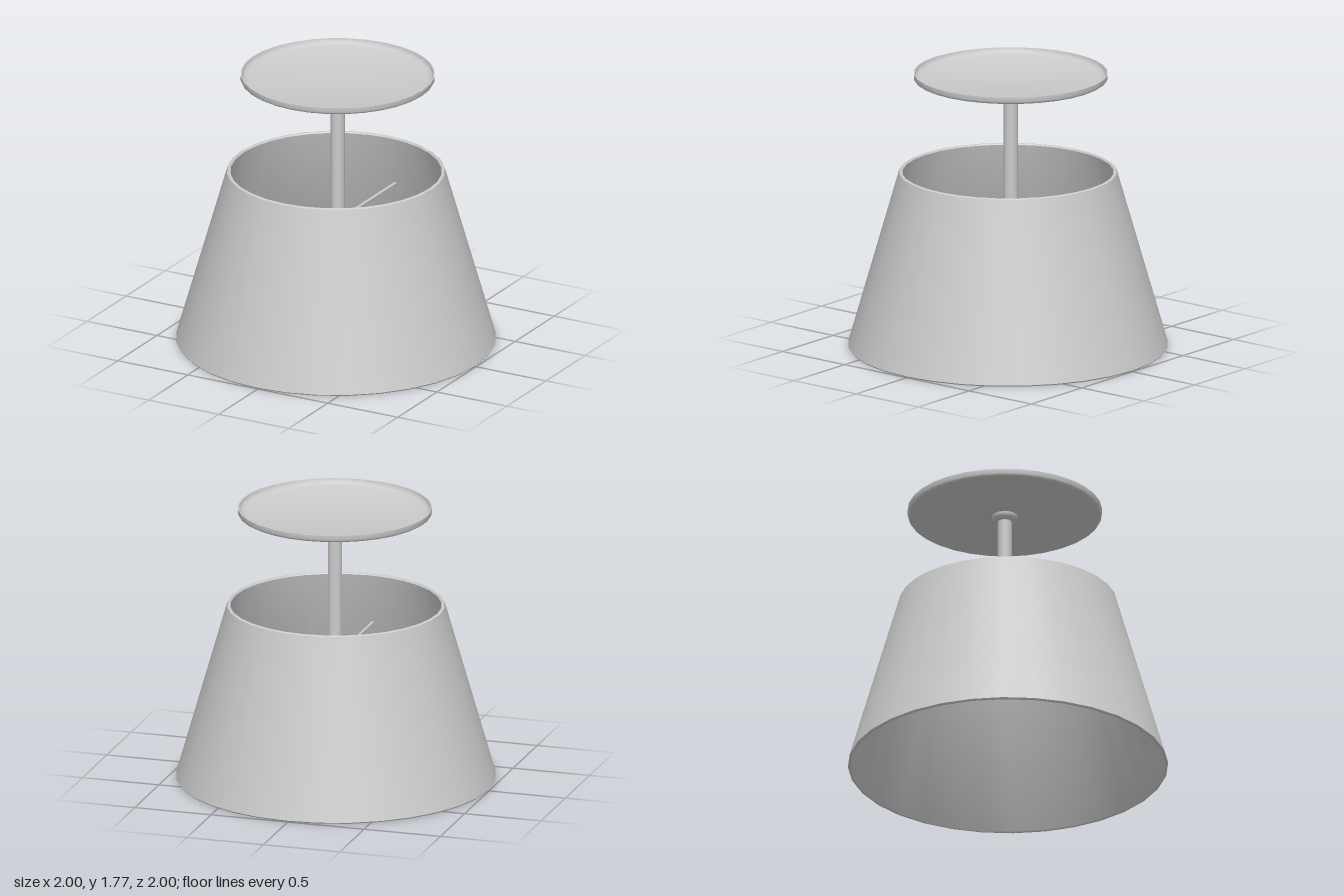
import * as THREE from 'three';
import { toCreasedNormals } from 'three/addons/utils/BufferGeometryUtils.js';

const material = new THREE.MeshStandardMaterial({ color: 0xcccccc });
const SEGMENTS = 32;
const STEM_Z = -0.022; // stem and ceiling plate sit slightly behind the shade's axis

function addMesh(parent, name, geometry) {
  const mesh = new THREE.Mesh(geometry, material);
  mesh.name = name;
  parent.add(mesh);
  return mesh;
}

// Profiles run up the outside, so faces point outwards
function lathe(profile) {
  const points = profile.map(([r, y]) => new THREE.Vector2(r, y));
  return toCreasedNormals(new THREE.LatheGeometry(points, SEGMENTS), 0.7);
}

export function createModel() {
  const model = new THREE.Group();
  model.name = 'pendantLamp';

  // Tapered shade: thin wall, open at both ends, with small bevels on the rims
  addMesh(model, 'shade', lathe([
    [0.978, 0.008], [0.985, 0], [0.994, 0], [1, 0.008],
    [0.683, 1.115], [0.681, 1.123], [0.674, 1.128],
    [0.664, 1.128], [0.658, 1.12], [0.978, 0.008],
  ]));

  // Shallow ceiling plate with a raised, rounded rim
  const plate = addMesh(model, 'ceilingPlate', lathe([
    [0, 1.722], [0.592, 1.722], [0.602, 1.728], [0.607, 1.738],
    [0.607, 1.767], [0.599, 1.767], [0.596, 1.75], [0.585, 1.738],
    [0.56, 1.73], [0, 1.728],
  ]));
  plate.position.z = STEM_Z;

  // Collar where the stem meets the plate
  const collar = addMesh(model, 'collar', lathe([
    [0, 1.682], [0.046, 1.682], [0.06, 1.687], [0.072, 1.697],
    [0.079, 1.71], [0.08, 1.725], [0, 1.725],
  ]));
  collar.position.z = STEM_Z;

  // Stem
  const stem = addMesh(model, 'stem', new THREE.CylinderGeometry(0.044, 0.044, 0.95, SEGMENTS));
  stem.position.set(0, 1.225, STEM_Z);

  // Four spokes holding the shade, made of two crossing bars
  const barGeometry = new THREE.CylinderGeometry(0.01, 0.01, 1.515, 12);
  const sideBar = addMesh(model, 'sideSpokes', barGeometry);
  sideBar.rotation.z = Math.PI / 2;
  sideBar.position.set(0, 0.782, STEM_Z);
  const frontBackBar = addMesh(model, 'frontBackSpokes', barGeometry);
  frontBackBar.rotation.x = Math.PI / 2;
  frontBackBar.position.set(0, 0.782, 0);

  return model;
}
